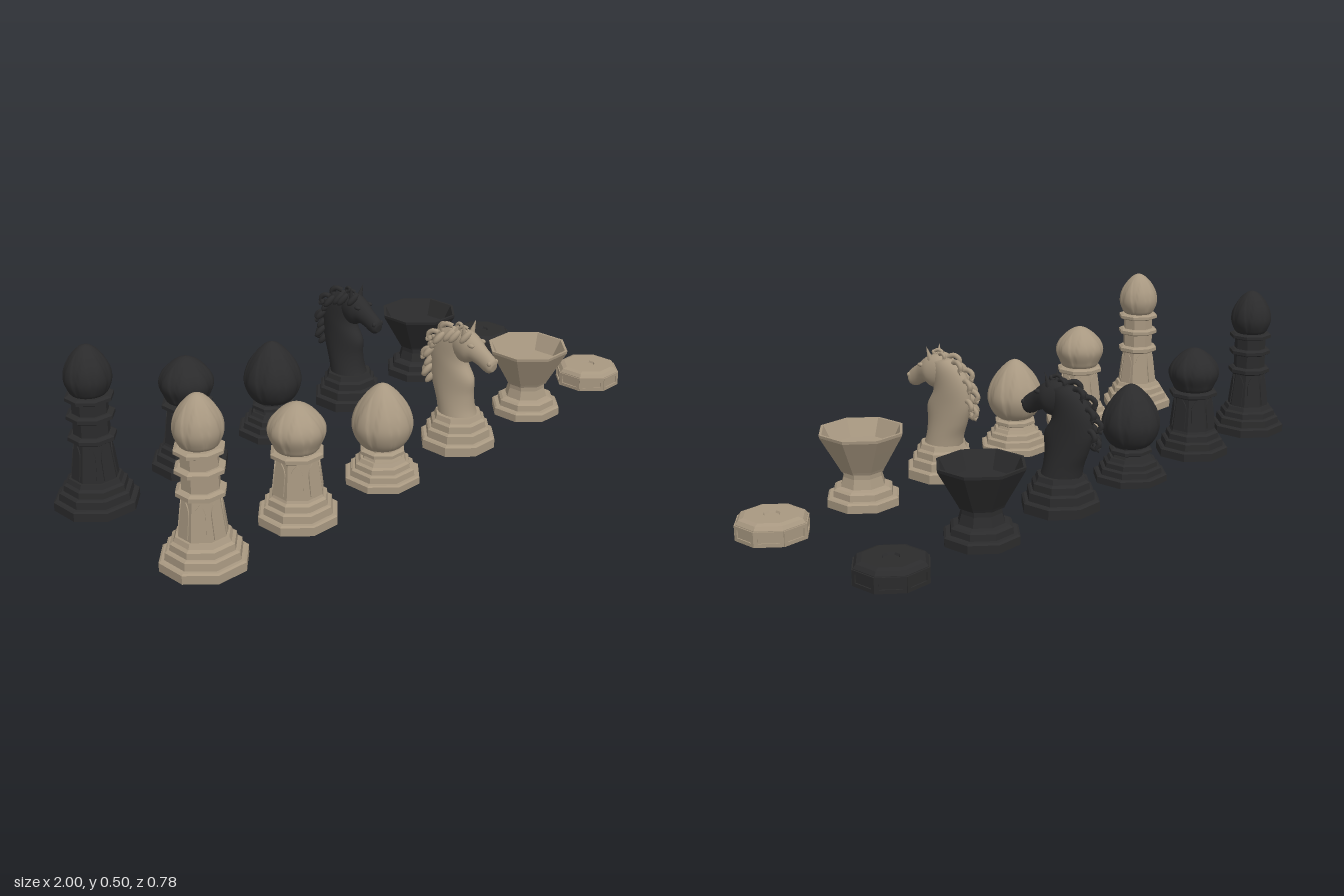
import * as THREE from 'three';
import { mergeVertices } from 'three/addons/utils/BufferGeometryUtils.js';

const light = new THREE.MeshStandardMaterial({ color: 0xa89881 });
light.name = 'warm stone';
const dark = new THREE.MeshStandardMaterial({ color: 0x2b2b2c });
dark.name = 'charcoal';

const V2 = (p) => new THREE.Vector2(p[0], p[1]);

// Flat-faced octagonal turning; profile is [apothem, height] from bottom to top
function octagon(profile) {
  const k = 1 / Math.cos(Math.PI / 8);
  const g = new THREE.LatheGeometry(profile.map(([r, y]) => new THREE.Vector2(r * k, y)), 8);
  g.rotateY(Math.PI / 8);
  const flat = g.toNonIndexed();
  flat.computeVertexNormals();
  return flat;
}

// Stepped foot shared by the tall pieces
const foot = (a, s = 1) => octagon([
  [0, 0], [a, 0], [a, 0.026 * s], [a - 0.006, 0.03 * s], [a - 0.015, 0.031 * s], [a - 0.017, 0.053 * s],
  [a - 0.023, 0.057 * s], [a - 0.029, 0.058 * s], [a - 0.031, 0.076 * s], [a - 0.04, 0.082 * s],
  [a - 0.046, 0.095 * s], [0, 0.095 * s]]);

// Octagonal collar
const collar = (a, y, h) => octagon([
  [0, y], [a - 0.01, y], [a, y + h * 0.25], [a, y + h * 0.75], [a - 0.01, y + h], [0, y + h]]);

// Bud-shaped cap with eight raised pointed petals
function bud(profile) {
  const curve = new THREE.SplineCurve(profile.map(V2));
  const pts = curve.getPoints(34);
  pts.forEach((p) => { p.x = Math.max(p.x, 0); });
  const y0 = pts[0].y, h = pts[pts.length - 1].y - y0;
  const g = new THREE.LatheGeometry(pts, 96);
  const p = g.attributes.position;
  for (let i = 0; i < p.count; i++) {
    const x = p.getX(i), z = p.getZ(i), t = (p.getY(i) - y0) / h;
    const u = Math.atan2(x, z) / (Math.PI / 4);
    const a = Math.abs(u - Math.round(u)) * 2;
    const edge = 0.93 * Math.sqrt(Math.max(0, 1 - t / 0.85));
    const lift = THREE.MathUtils.smoothstep(edge - a, -0.05, 0.06);
    const k = 0.965 + 0.035 * lift;
    p.setX(i, x * k);
    p.setZ(i, z * k);
  }
  g.deleteAttribute('uv');
  g.deleteAttribute('normal');
  const m = mergeVertices(g, 1e-5);
  m.computeVertexNormals();
  return m;
}

// Lofted body through [frontZ, frontY, backZ, backY, halfWidth] sections
function loft(sections, rows = 28, n = 24) {
  const f = new THREE.CatmullRomCurve3(sections.map((s) => new THREE.Vector3(s[4], s[1], s[0])));
  const b = new THREE.CatmullRomCurve3(sections.map((s) => new THREE.Vector3(s[4], s[3], s[2])));
  const pos = [], idx = [];
  for (let i = 0; i <= rows; i++) {
    const p = f.getPoint(i / rows), q = b.getPoint(i / rows);
    for (let j = 0; j < n; j++) {
      const t = (j / n) * Math.PI * 2, c = Math.cos(t) / 2;
      pos.push(p.x * Math.sin(t), (p.y + q.y) / 2 + (p.y - q.y) * c, (p.z + q.z) / 2 + (p.z - q.z) * c);
      if (i < rows) {
        const a = i * n + j, d = i * n + (j + 1) % n;
        idx.push(a, d, d + n, a, d + n, a + n);
      }
    }
  }
  for (let j = 1; j < n - 1; j++) {
    const e = rows * n;
    idx.push(0, j + 1, j, e, e + j, e + j + 1);
  }
  const g = new THREE.BufferGeometry();
  g.setAttribute('position', new THREE.Float32BufferAttribute(pos, 3));
  g.setIndex(idx);
  g.computeVertexNormals();
  return g;
}

function add(group, name, geometry, material) {
  const m = new THREE.Mesh(geometry, material);
  m.name = name;
  group.add(m);
  return m;
}

// Tapered octagonal column with a pointed arch panel on each face
function column(group, mat, a0, y0, a1, y1) {
  add(group, 'column', octagon([[0, y0], [a0, y0], [a1, y1], [0, y1]]), mat);
  const w = a1 * 0.3, h = y1 - y0, s = new THREE.Shape();
  s.moveTo(-w, h * 0.08);
  s.lineTo(w, h * 0.08);
  s.lineTo(w, h * 0.62);
  s.quadraticCurveTo(w, h * 0.8, 0, h * 0.93);
  s.quadraticCurveTo(-w, h * 0.8, -w, h * 0.62);
  const g = new THREE.ExtrudeGeometry(s, { depth: 0.004, bevelEnabled: false, curveSegments: 6 });
  g.rotateX(-Math.atan2(a0 - a1, h)).translate(0, y0, a0 - 0.0005);
  for (let i = 0; i < 8; i++) add(group, 'archPanel', g, mat).rotation.y = i * Math.PI / 4;
}

function king(g, mat) {
  add(g, 'foot', foot(0.119), mat);
  column(g, mat, 0.066, 0.09, 0.051, 0.212);
  add(g, 'shaft', octagon([[0.051, 0.21], [0.05, 0.345]]), mat);
  [[0.21, 0.024], [0.278, 0.022], [0.336, 0.02]].forEach(([y, h]) => add(g, 'collar', collar(0.067, y, h), mat));
  add(g, 'bud', bud([[0, 0.352], [0.045, 0.354], [0.062, 0.375], [0.07, 0.405], [0.064, 0.44], [0.044, 0.475], [0.02, 0.498], [0, 0.505]]), mat);
}

function queen(g, mat) {
  add(g, 'foot', foot(0.114), mat);
  column(g, mat, 0.072, 0.09, 0.059, 0.203);
  add(g, 'collar', collar(0.075, 0.2, 0.022), mat);
  add(g, 'bud', bud([[0, 0.218], [0.055, 0.22], [0.073, 0.245], [0.085, 0.28], [0.076, 0.312], [0.05, 0.342], [0.022, 0.36], [0, 0.366]]), mat);
}

function bishop(g, mat) {
  add(g, 'foot', foot(0.112, 0.82), mat);
  add(g, 'neck', octagon([[0.06, 0.075], [0.052, 0.09], [0.05, 0.115]]), mat);
  add(g, 'collar', collar(0.066, 0.087, 0.02), mat);
  add(g, 'bud', bud([[0, 0.107], [0.05, 0.109], [0.079, 0.135], [0.094, 0.18], [0.085, 0.226], [0.058, 0.272], [0.025, 0.304], [0, 0.315]]), mat);
}

function knight(g, mat) {
  add(g, 'foot', foot(0.115, 1.15), mat);
  add(g, 'neck', loft([
    [0.068, 0.095, -0.068, 0.095, 0.06], [0.057, 0.13, -0.078, 0.14, 0.054],
    [0.054, 0.18, -0.1, 0.19, 0.047], [0.058, 0.23, -0.118, 0.25, 0.042],
    [0.03, 0.28, -0.112, 0.32, 0.039], [0.03, 0.33, -0.08, 0.368, 0.035],
    [0.045, 0.365, -0.03, 0.392, 0.026]]), mat);
  add(g, 'head', loft([
    [-0.015, 0.31, -0.03, 0.385, 0.026], [0.01, 0.288, 0.01, 0.396, 0.036],
    [0.035, 0.287, 0.045, 0.391, 0.039], [0.06, 0.298, 0.07, 0.377, 0.033],
    [0.085, 0.291, 0.097, 0.355, 0.026], [0.107, 0.279, 0.124, 0.337, 0.023],
    [0.124, 0.276, 0.14, 0.323, 0.022], [0.136, 0.283, 0.143, 0.308, 0.014]]), mat);
  const ball = new THREE.SphereGeometry(1, 14, 10);
  const ear = new THREE.ConeGeometry(0.011, 0.052, 8);
  for (const s of [-1, 1]) {
    const e = add(g, 'ear', ear, mat);
    e.position.set(s * 0.024, 0.4, 0.034);
    e.rotation.set(0.15, 0, -s * 0.25);
    const brow = add(g, 'brow', ball, mat);
    brow.position.set(s * 0.028, 0.359, 0.067);
    brow.scale.set(0.008, 0.007, 0.013);
    const nostril = add(g, 'nostril', ball, mat);
    nostril.position.set(s * 0.017, 0.313, 0.133);
    nostril.scale.set(0.007, 0.008, 0.007);
  }
  // Mane locks follow the crest, curling backward and spilling to the right side
  const crest = new THREE.CatmullRomCurve3([[0.025, 0.4], [-0.03, 0.392], [-0.08, 0.37], [-0.112, 0.325], [-0.122, 0.27], [-0.115, 0.228]]
    .map(([z, y]) => new THREE.Vector3(0, y, z)));
  const lock = new THREE.TubeGeometry(new THREE.CatmullRomCurve3([
    new THREE.Vector3(0, 0.012, 0.02), new THREE.Vector3(0, 0.012, -0.006),
    new THREE.Vector3(0, -0.006, -0.021), new THREE.Vector3(0, -0.022, -0.014),
    new THREE.Vector3(0, -0.026, -0.025)]), 12, 0.0095, 8);
  const side = new THREE.SphereGeometry(1, 12, 8);
  for (let i = 0; i < 9; i++) {
    const p = crest.getPoint(i / 8);
    const m = add(g, 'maneLock', lock, mat);
    m.position.copy(p).setX(i % 2 ? 0.008 : -0.012);
    m.rotation.set(0.35 - i * 0.05, i % 2 ? -0.2 : 0.35, 0);
    m.scale.setScalar(i < 2 ? 0.6 : 0.9);
    const l = add(g, 'sideLock', side, mat);
    l.position.set(-0.028 - (i % 2) * 0.012, p.y - 0.018, p.z + 0.02);
    l.scale.set(0.012, 0.026, 0.011);
    l.rotation.set(0.5, 0, -0.55);
  }
}

function rook(g, mat) {
  add(g, 'foot', octagon([
    [0, 0], [0.108, 0], [0.108, 0.025], [0.102, 0.03], [0.09, 0.031], [0.088, 0.05],
    [0.08, 0.056], [0.066, 0.06], [0.058, 0.09], [0.058, 0.108], [0, 0.108]]), mat);
  add(g, 'bowl', octagon([
    [0, 0.106], [0.063, 0.106], [0.067, 0.115], [0.1, 0.178], [0.124, 0.224], [0.125, 0.233],
    [0.117, 0.233], [0.091, 0.18], [0, 0.178]]), mat);
}

function pawn(g, mat) {
  add(g, 'disc', octagon([
    [0, 0], [0.1, 0], [0.1, 0.048], [0.092, 0.059], [0.078, 0.064],
    [0.024, 0.064], [0.021, 0.058], [0, 0.058]]), mat);
  // Raised frames leave a sunken panel on each side
  const rect = (o, w, y0, y1) => o.setFromPoints([[-w, y0], [w, y0], [w, y1], [-w, y1]].map(V2)).closePath();
  const s = rect(new THREE.Shape(), 0.042, 0, 0.046);
  s.holes.push(rect(new THREE.Path(), 0.031, 0.011, 0.036));
  const frame = new THREE.ExtrudeGeometry(s, { depth: 0.0045, bevelEnabled: false }).translate(0, 0, 0.0995);
  for (let i = 0; i < 8; i++) add(g, 'sideFrame', frame, mat).rotation.y = i * Math.PI / 4;
}

export function createModel() {
  const model = new THREE.Group();
  model.name = 'chessPieces';
  const pieces = { king, queen, bishop, knight, rook, pawn };
  const xs = [-0.881, -0.528, -0.174, 0.181, 0.536, 0.893];
  for (const [tone, mat, z] of [['light', light, 0.246], ['dark', dark, -0.246]]) {
    Object.entries(pieces).forEach(([name, build], i) => {
      const g = new THREE.Group();
      g.name = tone + name[0].toUpperCase() + name.slice(1);
      build(g, mat);
      g.position.set(xs[i], 0, z);
      model.add(g);
    });
  }
  return model;
}
